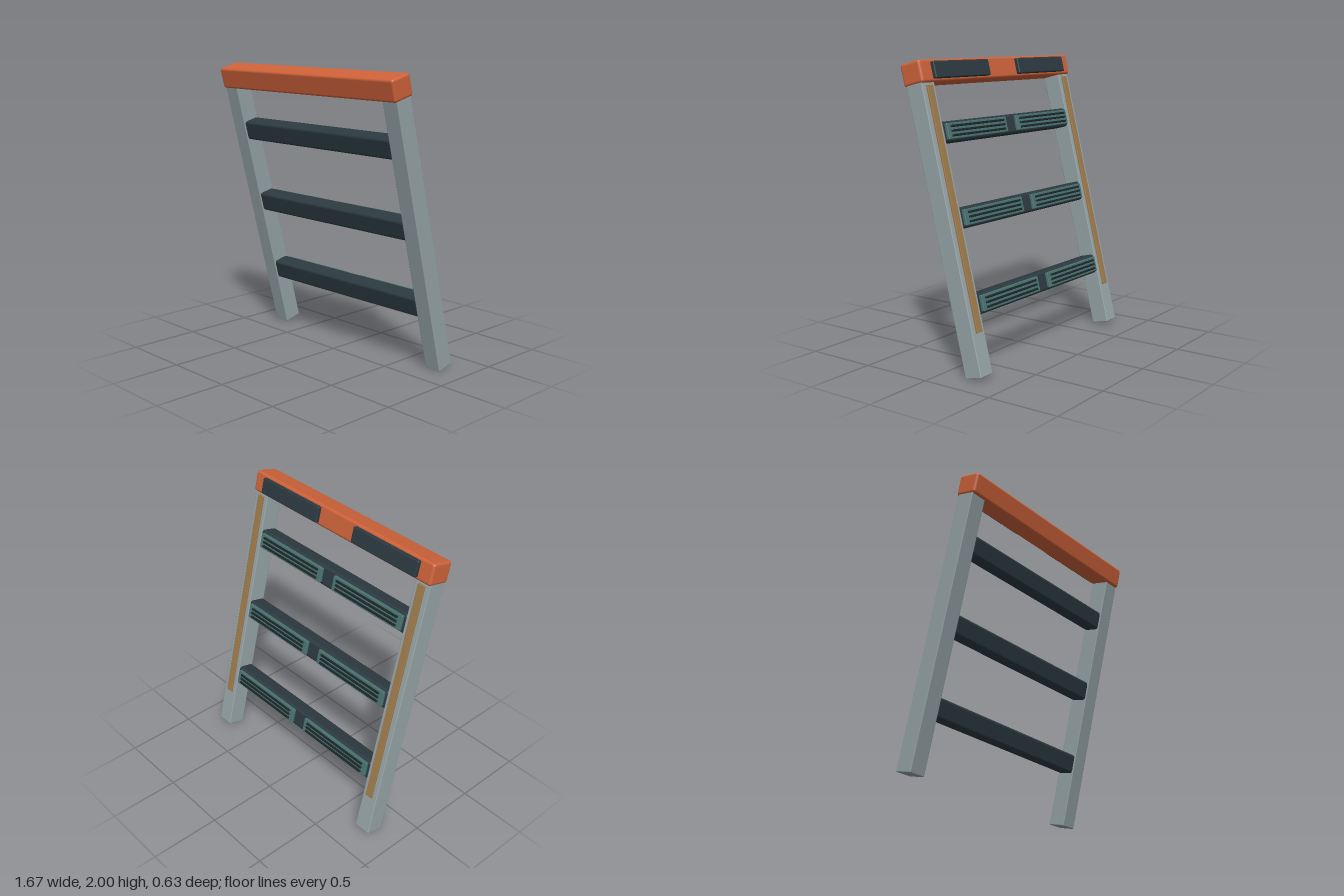
import * as THREE from 'three';
import { RoundedBoxGeometry } from 'three/addons/geometries/RoundedBoxGeometry.js';

export function createModel() {
  const mat = (name, color) => {
    const m = new THREE.MeshStandardMaterial({ color });
    m.name = name;
    return m;
  };
  const orange = mat('orange', 0xcf633a);
  const grey = mat('rail grey', 0x97a5a8);
  const dark = mat('dark slate', 0x2c3a40);
  const black = mat('ridge black', 0x1c2628);
  const teal = mat('tread teal', 0x4a7472);
  const tan = mat('strip tan', 0xa07c4c);

  const model = new THREE.Group();
  model.name = 'ladder';

  // Everything is built upright, then leaned forward as one frame
  const frame = new THREE.Group();
  frame.name = 'leaningFrame';
  frame.position.set(0, 0.017, -0.25);
  frame.rotation.x = THREE.MathUtils.degToRad(14);
  model.add(frame);

  // Rounded block with size [w, h, d] centred at [x, y, z]
  const block = (name, [w, h, d], [x, y, z], radius, material) => {
    const mesh = new THREE.Mesh(new RoundedBoxGeometry(w, h, d, 2, radius), material);
    mesh.name = name;
    mesh.position.set(x, y, z);
    frame.add(mesh);
  };

  // Top beam
  block('topBeam', [1.67, 0.147, 0.165], [0, 1.955, 0], 0.018, orange);

  for (const s of [1, -1]) {
    const side = s > 0 ? 'left' : 'right';
    // Side rail with its inlaid strip on the back
    block(side + 'Rail', [0.122, 1.9, 0.13], [s * 0.768, 0.95, 0], 0.006, grey);
    block(side + 'RailStrip', [0.055, 1.585, 0.02], [s * 0.765, 1.073, -0.067], 0.003, tan);
    // Bumper pad behind the top beam
    block(side + 'BeamPad', [0.565, 0.11, 0.035], [s * 0.447, 1.955, -0.0925], 0.008, dark);
  }

  // Rungs, each with two ridged treads on the back
  for (const y of [0.448, 1.005, 1.562]) {
    block('rung', [1.43, 0.137, 0.118], [0, y, 0], 0.02, dark);
    for (const s of [1, -1]) {
      block('treadPad', [0.63, 0.105, 0.03], [s * 0.372, y, -0.064], 0.005, teal);
      for (const dy of [-0.03, 0, 0.03])
        block('treadRidge', [0.56, 0.014, 0.018], [s * 0.372, y + dy, -0.081], 0.003, black);
    }
  }
  return model;
}
